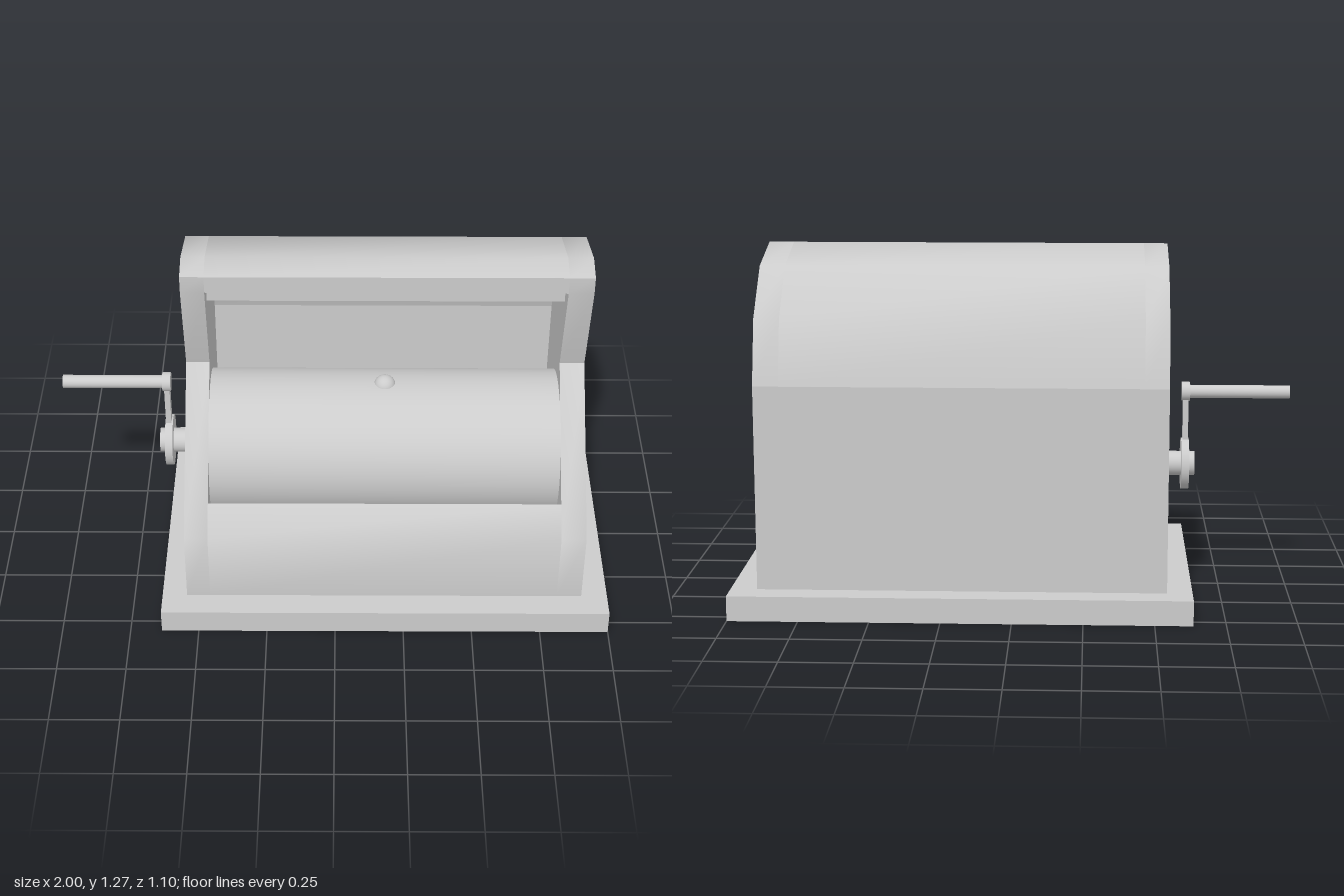
import * as THREE from 'three';
import { toCreasedNormals } from 'three/addons/utils/BufferGeometryUtils.js';

export function createModel() {
  const model = new THREE.Group();
  const material = new THREE.MeshStandardMaterial({ color: 0xcccccc });

  const add = (parent, name, geometry, x = 0, y = 0, z = 0) => {
    const mesh = new THREE.Mesh(geometry, material);
    mesh.name = name;
    mesh.position.set(x, y, z);
    parent.add(mesh);
    return mesh;
  };

  // Side profile of [z, y] points, swept along x from x0 to x1
  const sweep = (parent, name, points, x0, x1) => {
    const shape = new THREE.Shape(points.map(([z, y]) => new THREE.Vector2(-z, y)));
    const geometry = new THREE.ExtrudeGeometry(shape, { depth: x1 - x0, bevelEnabled: false });
    geometry.rotateY(Math.PI / 2);
    add(parent, name, toCreasedNormals(geometry, 0.8), x0);
  };

  // Cylinder lying along x from x0 to x1
  const rod = (parent, name, radius, x0, x1, y, segments = 32) =>
    add(parent, name, new THREE.CylinderGeometry(radius, radius, x1 - x0, segments).rotateZ(Math.PI / 2),
      (x0 + x1) / 2, y, 0);

  // Base plate
  add(model, 'basePlate', new THREE.BoxGeometry(1.635, 0.09, 1.1), 0.1825, 0.045, 0);

  // Housing: closed side walls, with a hollow middle open at the front
  const housing = new THREE.Group();
  housing.name = 'housing';
  model.add(housing);
  const left = 0.905, right = -0.545, innerLeft = 0.815, innerRight = -0.46;

  const lowerSide = [[0.455, 0.09], [0.455, 0.365], [0, 0.82], [-0.455, 0.82], [-0.455, 0.09]];
  const hoodOuter = [[0.09, 1.185], [0.09, 1.25], [0, 1.275], [-0.23, 1.215], [-0.395, 1.05], [-0.455, 0.82]];
  for (const [side, x0, x1] of [['right', right, innerRight], ['left', innerLeft, left]]) {
    sweep(housing, side + 'LowerWall', lowerSide, x0, x1);
    sweep(housing, side + 'HoodWall', [[0, 0.82], ...hoodOuter], x0, x1);
  }
  sweep(housing, 'frontWall', [[0.365, 0.09], [0.455, 0.09], [0.455, 0.365], [0.365, 0.455]], innerRight, innerLeft);
  sweep(housing, 'backWall', [[-0.455, 0.09], [-0.365, 0.09], [-0.365, 0.82], [-0.455, 0.82]], innerRight, innerLeft);
  sweep(housing, 'hood', [
    ...hoodOuter, [-0.365, 0.82], [-0.315, 1.0], [-0.19, 1.12], [0, 1.09], [0, 1.185],
  ], innerRight, innerLeft);

  // Drum with a small stud on top
  rod(model, 'drum', 0.27, innerRight, innerLeft, 0.46, 64);
  add(model, 'drumStud', new THREE.SphereGeometry(0.04, 24, 16), 0.18, 0.717, 0);

  // Hand crank on the right side
  const crank = new THREE.Group();
  crank.name = 'crank';
  model.add(crank);
  rod(crank, 'crankHub', 0.045, -0.655, -0.54, 0.46);
  rod(crank, 'crankDisc', 0.095, -0.633, -0.605, 0.46);
  add(crank, 'crankArm', new THREE.BoxGeometry(0.02, 0.27, 0.04), -0.62, 0.595, 0);
  rod(crank, 'handleBoss', 0.035, -0.635, -0.605, 0.73);
  rod(crank, 'handle', 0.024, -1, -0.62, 0.73);

  return model;
}
